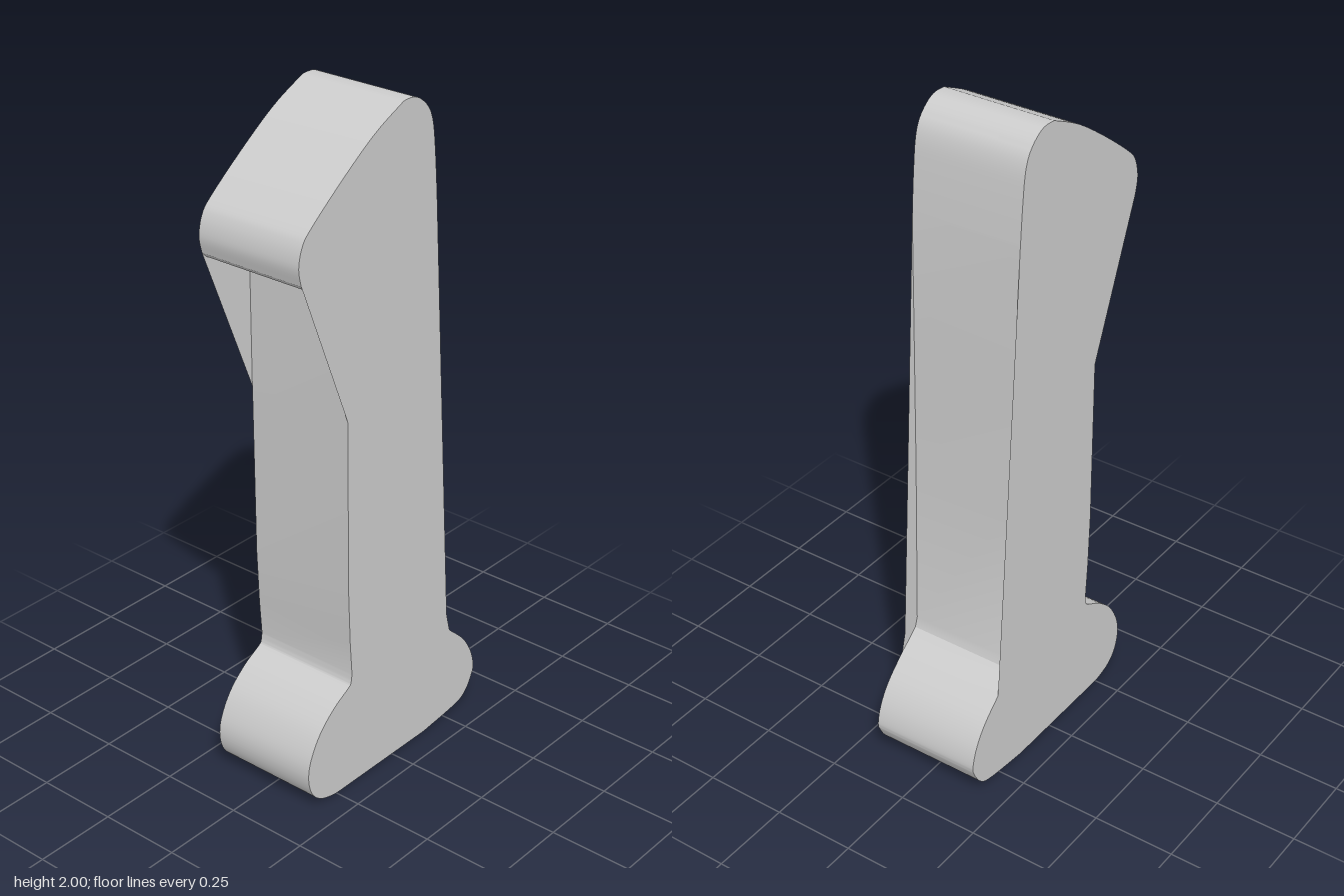
import * as THREE from 'three';
import { toCreasedNormals } from 'three/addons/utils/BufferGeometryUtils.js';

const HALF = 0.17; // half the thickness in z

// Smooth curve through a few [x, y] points
function smooth(points, divisions = 36) {
  return new THREE.SplineCurve(points.map(p => new THREE.Vector2(...p))).getPoints(divisions);
}
const corners = points => points.map(p => new THREE.Vector2(...p));

// Flat face at a given z
function face(outline, z) {
  const geometry = new THREE.ShapeGeometry(new THREE.Shape(outline));
  geometry.translate(0, 0, z);
  return geometry;
}

// Side wall following a closed counterclockwise outline
function wall(outline) {
  const positions = [];
  outline.forEach((a, i) => {
    const b = outline[(i + 1) % outline.length];
    positions.push(
      a.x, a.y, HALF, a.x, a.y, -HALF, b.x, b.y, -HALF,
      a.x, a.y, HALF, b.x, b.y, -HALF, b.x, b.y, HALF);
  });
  const geometry = new THREE.BufferGeometry();
  geometry.setAttribute('position', new THREE.Float32BufferAttribute(positions, 3));
  return toCreasedNormals(geometry, 0.5);
}

export function createModel() {
  const group = new THREE.Group();
  group.name = 'slab';
  const material = new THREE.MeshStandardMaterial({ color: 0xcccccc, side: THREE.DoubleSide });

  // Rounded foot on the +x side, from the ground up
  const footRight = smooth([[0.15, 0], [0.3, 0.018], [0.35, 0.04], [0.38, 0.085], [0.388, 0.12],
    [0.37, 0.18], [0.33, 0.24], [0.265, 0.3]]);
  // Slanted head, from the +x side over the top to the tip
  const head = smooth([[0.165, 1.7], [0.155, 1.82], [0.143, 1.91], [0.12, 1.96], [0.075, 1.995],
    [0.03, 2], [0, 1.99], [-0.1, 1.94], [-0.22, 1.858], [-0.34, 1.765], [-0.375, 1.725],
    [-0.389, 1.67], [-0.38, 1.62]], 60);
  // Stem and rounded foot on the -x side, downwards
  const stemLeft = corners([[-0.2, 1.17], [-0.197, 0.65], [-0.19, 0.48]]);
  const footLeft = smooth([[-0.182, 0.37], [-0.187, 0.342], [-0.2, 0.33], [-0.26, 0.295],
    [-0.32, 0.24], [-0.36, 0.17], [-0.37, 0.11], [-0.355, 0.055], [-0.32, 0.02],
    [-0.27, 0.003], [-0.24, 0]], 50);
  const left = [...stemLeft, ...footLeft];

  // The faces run straight past the hollows in the side wall
  const frontOutline = [...footRight, ...corners([[0.25, 0.36]]), ...head, ...left];
  const backOutline = [...footRight, ...head, ...left];
  // The wall steps in under the head and along the +x side
  const wallOutline = [
    ...footRight,
    ...corners([[0.23, 0.325], [0.2, 0.35], [0.19, 0.38], [0.177, 0.9], [0.17, 1.35]]),
    ...head,
    ...corners([[-0.365, 1.605], [-0.33, 1.6], [-0.2, 1.61]]),
    ...left,
  ];

  const parts = {
    frontFace: face(frontOutline, HALF),
    backFace: face(backOutline, -HALF).scale(1, 1, 1),
    sideWall: wall(wallOutline),
  };
  // Turn the back face outwards
  const index = parts.backFace.index;
  for (let i = 0; i < index.count; i += 3) {
    const b = index.getX(i + 1);
    index.setX(i + 1, index.getX(i + 2));
    index.setX(i + 2, b);
  }
  parts.backFace.computeVertexNormals();

  for (const [name, geometry] of Object.entries(parts)) {
    const mesh = new THREE.Mesh(geometry, material);
    mesh.name = name;
    group.add(mesh);
  }
  return group;
}
